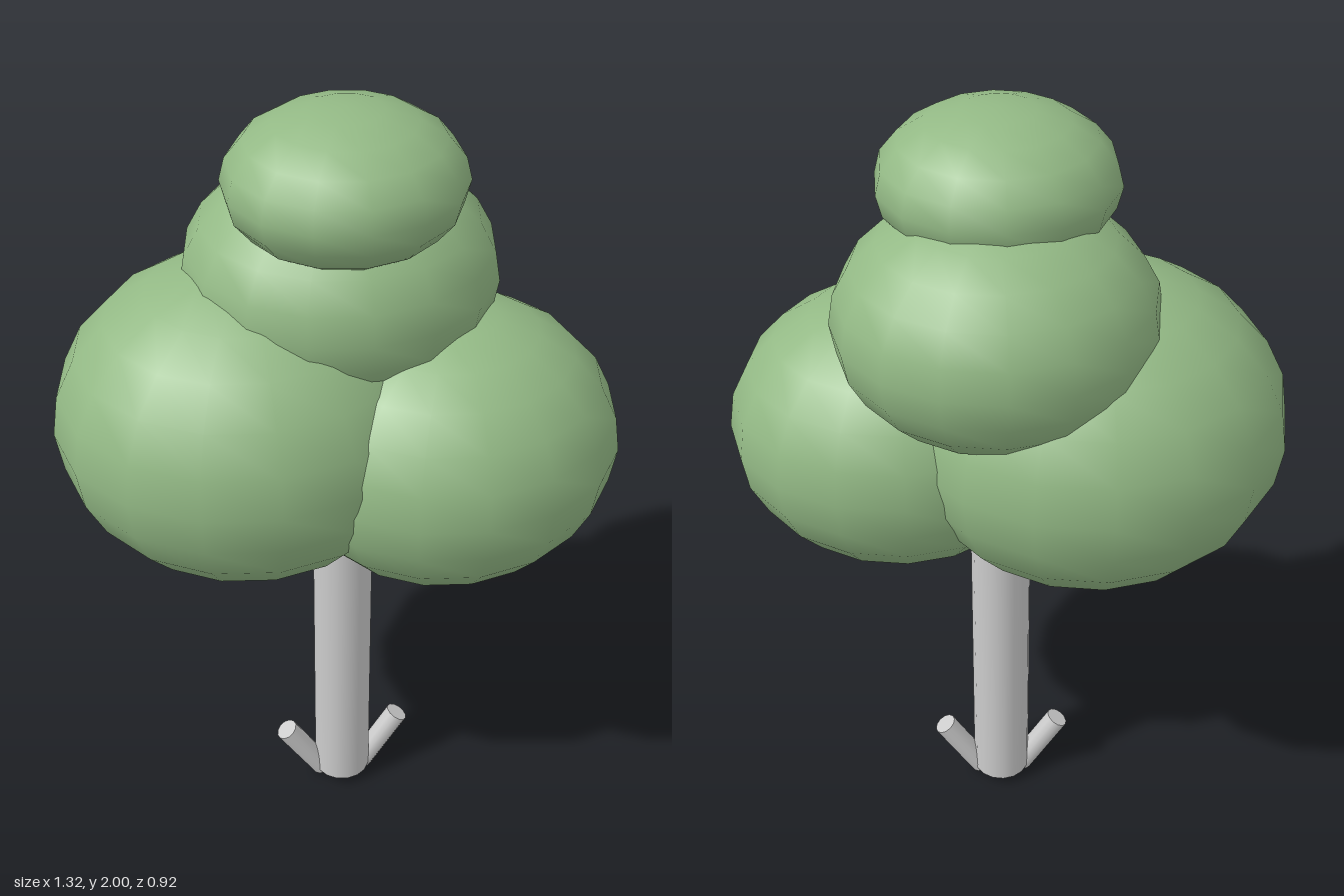
import * as THREE from 'three';

const leafGreen = new THREE.MeshStandardMaterial({ name: 'leaf green', color: 0x93b985 });
const barkGrey = new THREE.MeshStandardMaterial({ name: 'bark grey', color: 0xcccccc });

// Squashed foliage ball: centre, radii, number of sides and rings
function foliage(name, centre, radii, sides = 16, rings = 12) {
  const geometry = new THREE.SphereGeometry(1, sides, rings, Math.PI / 2);
  const mesh = new THREE.Mesh(geometry, leafGreen);
  mesh.name = name;
  mesh.position.set(...centre);
  mesh.scale.set(...radii);
  return mesh;
}

// Round wooden piece between two points
function wood(name, from, to, radius, sides) {
  const a = new THREE.Vector3(...from);
  const b = new THREE.Vector3(...to);
  const axis = b.clone().sub(a);
  const mesh = new THREE.Mesh(new THREE.CylinderGeometry(radius, radius, axis.length(), sides), barkGrey);
  mesh.name = name;
  mesh.position.copy(a).add(b).multiplyScalar(0.5);
  mesh.quaternion.setFromUnitVectors(new THREE.Vector3(0, 1, 0), axis.normalize());
  return mesh;
}

export function createModel() {
  const tree = new THREE.Group();
  tree.name = 'tree';
  const axisX = 0.015;
  const axisZ = 0.015;

  // Trunk reaching up into the foliage
  tree.add(wood('trunk', [axisX, 0.025, axisZ], [axisX, 1.2, axisZ], 0.075, 16));

  // Two short shoots leaning outward from the foot
  for (const side of [-1, 1]) {
    tree.add(wood(side > 0 ? 'leftShoot' : 'rightShoot',
      [axisX + side * 0.055, 0.016, axisZ], [axisX + side * 0.155, 0.178, axisZ], 0.03, 12));
  }

  // Four overlapping foliage balls
  tree.add(
    foliage('rightFoliage', [-0.2, 1.225, -0.035], [0.46, 0.39, 0.425]),
    foliage('leftFoliage', [0.25, 1.167, 0.087], [0.41, 0.345, 0.37]),
    foliage('upperFoliage', [0.03, 1.55, -0.092], [0.37, 0.283, 0.347]),
    foliage('topFoliage', [0.018, 1.83, 0.016], [0.272, 0.17, 0.256], 14, 10),
  );
  return tree;
}
